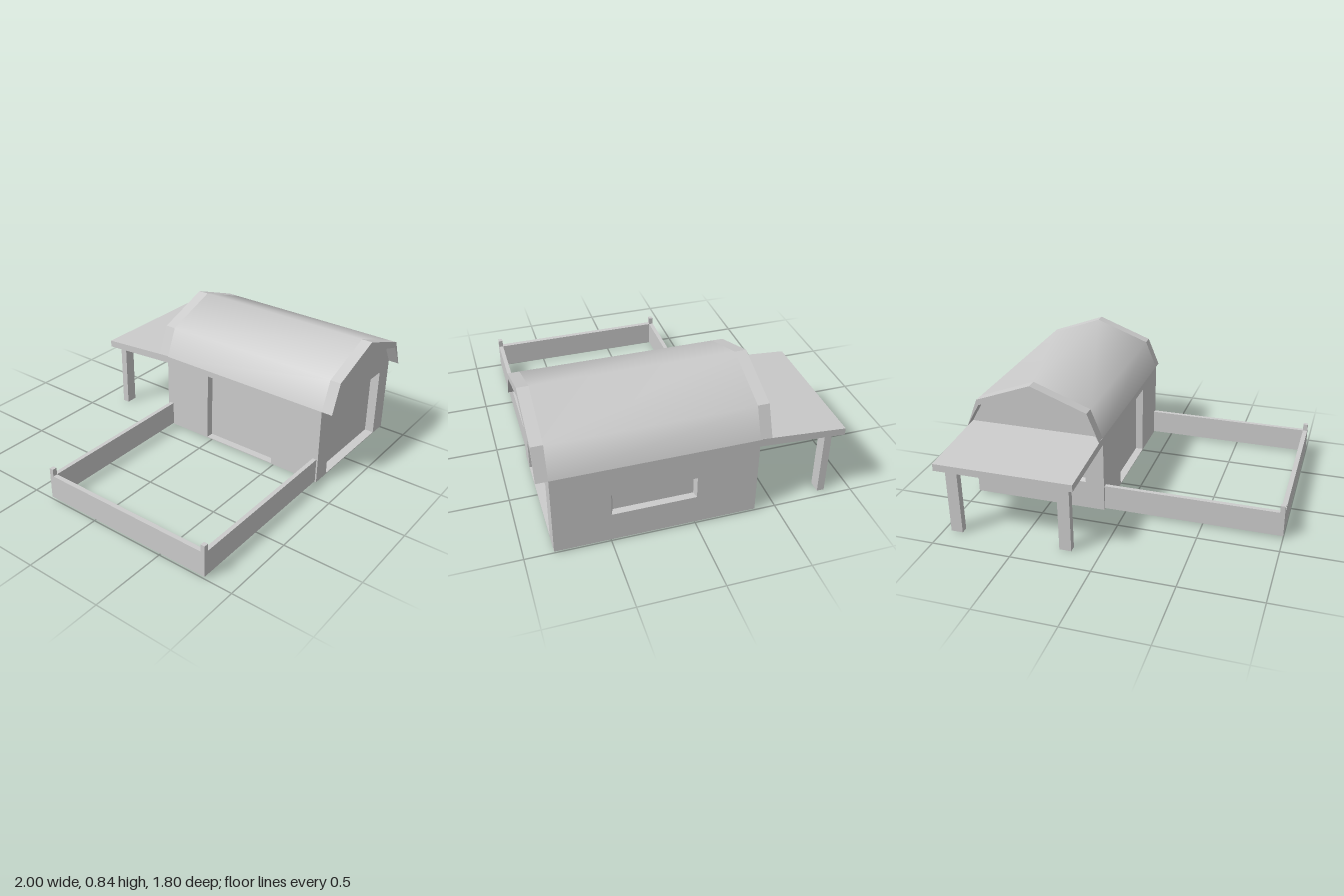
import * as THREE from 'three';

const grey = new THREE.MeshStandardMaterial({ color: 0xcccccc, side: THREE.DoubleSide });
const HALF_W = 0.435, HALF_L = 0.6, BASE = 0.01, EAVE = 0.52;

// Gambrel roof profile, right eave to left eave, and its thinner underside
const outer = [[0.435, EAVE], [0.36, 0.705], [0, 0.84], [-0.36, 0.705], [-0.435, EAVE]];
const inner = [[0.435, EAVE], [0.35, 0.67], [0, 0.78], [-0.35, 0.67], [-0.435, EAVE]];

const toShape = (pts) => new THREE.Shape(pts.map(([x, y]) => new THREE.Vector2(x, y)));

function add(parent, name, geometry, x = 0, y = 0, z = 0) {
  const mesh = new THREE.Mesh(geometry, grey);
  mesh.name = name;
  mesh.position.set(x, y, z);
  parent.add(mesh);
  return mesh;
}

// Box given by its min and max corners
function addBox(parent, name, [x0, y0, z0], [x1, y1, z1]) {
  return add(parent, name, new THREE.BoxGeometry(x1 - x0, y1 - y0, z1 - z0),
    (x0 + x1) / 2, (y0 + y1) / 2, (z0 + z1) / 2);
}

// Flat wall facing +z with one recessed opening: reveal tapers by `inset` over `depth`
function makeWall(name, outline, [x0, y0, x1, y1], inset, depth, paneName) {
  const wall = new THREE.Group();
  wall.name = name;
  const rect = (i) => [[x0 + i, y0 + i], [x1 - i, y0 + i], [x1 - i, y1 - i], [x0 + i, y1 - i]];
  const rim = rect(0), back = rect(inset);
  const shape = toShape(outline);
  shape.holes.push(toShape(rim));
  add(wall, name + 'Surface', new THREE.ShapeGeometry(shape));

  const pos = [];
  for (let i = 0; i < 4; i++) {
    const j = (i + 1) % 4;
    const a = [...rim[i], 0], b = [...rim[j], 0], c = [...back[j], -depth], d = [...back[i], -depth];
    pos.push(...a, ...b, ...c, ...a, ...c, ...d);
  }
  const reveal = new THREE.BufferGeometry();
  reveal.setAttribute('position', new THREE.Float32BufferAttribute(pos, 3));
  reveal.computeVertexNormals();
  add(wall, paneName + 'Reveal', reveal);
  add(wall, paneName, new THREE.ShapeGeometry(toShape(back)), 0, 0, -depth);
  return wall;
}

// Smooth roof skin between the two gable walls
function roofSkin() {
  const pos = [], index = [];
  outer.forEach(([x, y], i) => {
    pos.push(x, y, HALF_L, x, y, -HALF_L);
    if (i) {
      const a = 2 * i - 2;
      index.push(a, a + 1, a + 3, a, a + 3, a + 2);
    }
  });
  const g = new THREE.BufferGeometry();
  g.setAttribute('position', new THREE.Float32BufferAttribute(pos, 3));
  g.setIndex(index);
  g.computeVertexNormals();
  return g;
}

function makeBarn() {
  const barn = new THREE.Group();
  barn.name = 'barn';
  const gable = [[-HALF_W, BASE], [HALF_W, BASE], ...inner];
  const side = [[-HALF_L, BASE], [HALF_L, BASE], [HALF_L, EAVE], [-HALF_L, EAVE]];

  const front = makeWall('frontWall', gable, [-0.315, 0.015, 0.315, 0.48], 0, 0.06, 'frontDoor');
  front.position.z = HALF_L;
  const back = makeWall('backWall', gable, [-0.315, 0.195, 0.315, 0.335], 0.013, 0.03, 'backWindow');
  back.position.z = -HALF_L;
  back.rotation.y = Math.PI;
  const left = makeWall('leftWall', side, [-0.265, 0.195, 0.235, 0.335], 0.013, 0.03, 'sideWindow');
  left.position.x = HALF_W;
  left.rotation.y = Math.PI / 2;
  const right = makeWall('rightWall', side, [-0.26, 0.015, 0.26, 0.48], 0, 0.05, 'sideDoor');
  right.position.x = -HALF_W;
  right.rotation.y = -Math.PI / 2;
  barn.add(front, back, left, right);

  add(barn, 'floor', new THREE.PlaneGeometry(2 * HALF_W, 2 * HALF_L), 0, BASE, 0).rotation.x = Math.PI / 2;

  // Roof and the overhanging bands at both ends
  add(barn, 'roof', roofSkin());
  const band = toShape([...outer, ...inner.slice(1, -1).reverse()]);
  for (const [name, z] of [['frontOverhang', HALF_L], ['backOverhang', -HALF_L - 0.07]]) {
    add(barn, name, new THREE.ExtrudeGeometry(band, { depth: 0.07, bevelEnabled: false }), 0, 0, z);
  }

  // Sloping canopy on two posts behind the barn
  const slope = toShape([[0.6, 0.475], [1.13, 0.44], [1.13, 0.485], [0.6, 0.525]]);
  const canopy = add(barn, 'canopy',
    new THREE.ExtrudeGeometry(slope, { depth: 2 * HALF_W, bevelEnabled: false }), HALF_W, 0, 0);
  canopy.rotation.y = Math.PI / 2;
  canopy.position.x = -HALF_W;
  for (const s of [-1, 1]) {
    addBox(barn, 'canopyPost', [s * 0.3525 - 0.0375, 0, -1.075], [s * 0.3525 + 0.0375, 0.445, -1.03]);
  }
  return barn;
}

// Low fence around the yard, with taller corner posts
function makeFence() {
  const fence = new THREE.Group();
  fence.name = 'fence';
  const x0 = -1, x1 = -0.97, y0 = 0.015, top = 0.175;
  for (const [z0, z1] of [[-0.355, -0.328], [0.793, 0.82]]) {
    addBox(fence, 'fenceRail', [x1, y0, z0], [0.13, top, z1]);
    addBox(fence, 'fencePost', [x0, y0, z0], [x1, 0.222, z1]);
  }
  addBox(fence, 'fenceEnd', [x0, y0, -0.328], [x1, top, 0.793]);
  return fence;
}

export function createModel() {
  const model = new THREE.Group();
  model.name = 'barnWithYard';
  const barn = makeBarn();
  barn.position.set(0.565, 0, 0.23);
  model.add(barn, makeFence());
  return model;
}
